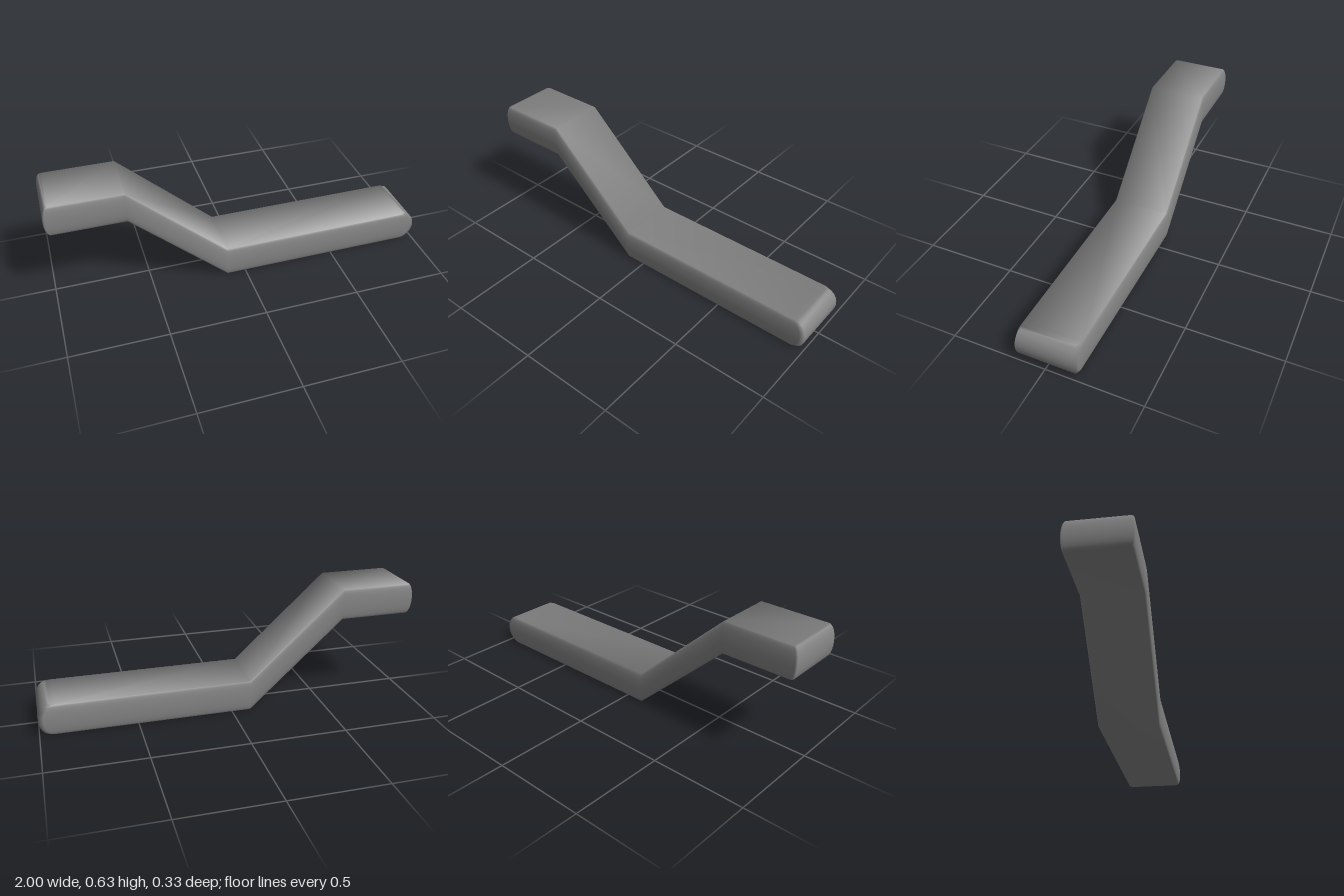
import * as THREE from 'three';

const HEIGHT = 0.166, RISE = 0.465, BEND_HIGH = -0.605, BEND_LOW = -0.1;

// Underside height along the bar: raised tail, slope, flat front run
function baseHeight(x) {
  return RISE * (1 - THREE.MathUtils.clamp((x - BEND_HIGH) / (BEND_LOW - BEND_HIGH), 0, 1));
}

// Plan outline at height fraction t; sides and ends bulge at mid height
function outline(t) {
  const bulge = Math.sqrt(Math.max(0, 1 - (2 * t - 1) ** 2));
  const w = 0.15 + 0.014 * bulge;
  const left = -0.975 - 0.025 * bulge, right = 0.94 + 0.06 * bulge;
  const front = [
    [left, w - 0.008], [left + 0.008, w], [BEND_HIGH, w],
    [BEND_LOW, w], [right - 0.025, w], [right, w - 0.01],
  ];
  const back = front.map(([x, z]) => [x, -z]).reverse();
  return [...front, ...back];
}

// Lean the normals of the top and bottom rims outwards for a soft, pillowy shading
function softenRims(geometry, n, top) {
  const normals = geometry.attributes.normal, points = geometry.attributes.position;
  const normal = new THREE.Vector3();
  for (const start of [0, top]) {
    for (let i = start; i < start + n; i++) {
      normal.fromBufferAttribute(normals, i);
      normal.z += 0.8 * Math.sign(points.getZ(i));
      normal.normalize();
      normals.setXYZ(i, normal.x, normal.y, normal.z);
    }
  }
}

function barGeometry() {
  const levels = 12, positions = [], index = [];
  const quad = (a, b, c, d) => index.push(a, b, c, a, c, d);
  for (let k = 0; k <= levels; k++) {
    // Cosine spacing keeps the curved edges round
    const t = (1 - Math.cos(Math.PI * k / levels)) / 2;
    for (const [x, z] of outline(t)) positions.push(x, baseHeight(x) + t * HEIGHT, z);
  }
  const n = 12, top = levels * n;
  // Bulging wall
  for (let k = 0; k < levels; k++) {
    for (let i = 0; i < n; i++) {
      const j = (i + 1) % n, a = k * n, b = a + n;
      quad(a + i, a + j, b + j, b + i);
    }
  }
  // Top and underside, joined across from front edge to back edge
  for (let i = 0; i < n / 2 - 1; i++) {
    const o = n - 1 - i;
    quad(top + i, top + i + 1, top + o - 1, top + o);
    quad(o, o - 1, i + 1, i);
  }
  const geometry = new THREE.BufferGeometry();
  geometry.setAttribute('position', new THREE.Float32BufferAttribute(positions, 3));
  geometry.setIndex(index);
  geometry.computeVertexNormals();
  softenRims(geometry, n, top);
  return geometry;
}

export function createModel() {
  const group = new THREE.Group();
  group.name = 'crankedBar';
  const bar = new THREE.Mesh(barGeometry(), new THREE.MeshStandardMaterial({ color: 0x868686 }));
  bar.name = 'bar';
  group.add(bar);
  return group;
}
